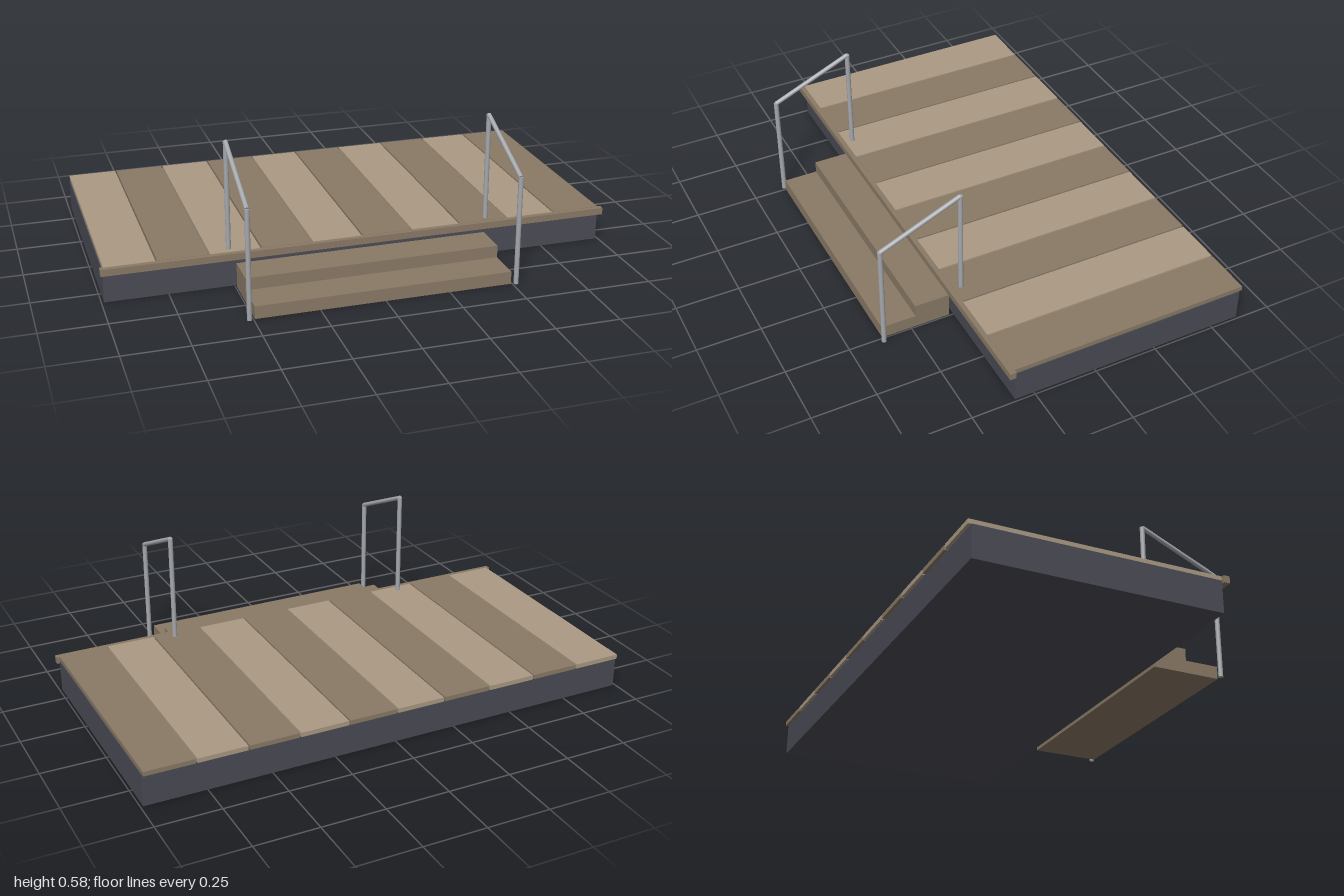
import * as THREE from 'three';

const material = (name, color) => {
  const m = new THREE.MeshStandardMaterial({ color });
  m.name = name;
  return m;
};

export function createModel() {
  const group = new THREE.Group();
  const lightWood = material('light wood', 0xab9a84);
  const darkWood = material('dark wood', 0x8a7a66);
  const baseGrey = material('base grey', 0x4a4b55);
  const steel = material('steel', 0xa4a7ac);

  // Box given by its lower and upper corners
  const box = (name, mat, [x0, y0, z0], [x1, y1, z1]) => {
    const mesh = new THREE.Mesh(new THREE.BoxGeometry(x1 - x0, y1 - y0, z1 - z0), mat);
    mesh.position.set((x0 + x1) / 2, (y0 + y1) / 2, (z0 + z1) / 2);
    mesh.name = name;
    group.add(mesh);
  };

  // Round bar between two points
  const bar = (name, parent, a, b, radius) => {
    const from = new THREE.Vector3(...a);
    const along = new THREE.Vector3(...b).sub(from);
    const mesh = new THREE.Mesh(new THREE.CylinderGeometry(radius, radius, along.length(), 16), steel);
    mesh.position.copy(from).addScaledVector(along, 0.5);
    mesh.quaternion.setFromUnitVectors(new THREE.Vector3(0, 1, 0), along.normalize());
    mesh.name = name;
    parent.add(mesh);
  };

  // Platform base
  box('base', baseGrey, [-0.99, 0, -0.615], [0.99, 0.125, 0.326]);

  // Ten deck planks in alternating tones
  const pitch = 0.198;
  for (let i = 0; i < 10; i++) {
    const x = -0.99 + i * pitch;
    box('plank' + (i + 1), i % 2 ? darkWood : lightWood,
      [x + 0.003, 0.125, -0.627], [x + pitch - 0.003, 0.143, 0.333]);
  }

  // Front edge board
  box('edgeBoard', darkWood, [-1, 0.115, 0.328], [1, 0.142, 0.352]);

  // Two steps
  box('lowerStep', darkWood, [-0.495, 0, 0.342], [0.495, 0.05, 0.617]);
  box('upperStep', darkWood, [-0.495, 0.05, 0.342], [0.495, 0.098, 0.48]);

  // Handrails on both sides of the steps
  for (const side of [-1, 1]) {
    const rail = new THREE.Group();
    rail.name = side > 0 ? 'leftHandrail' : 'rightHandrail';
    const x = side * 0.515;
    bar('frontPost', rail, [x, 0, 0.618], [x, 0.428, 0.618], 0.0095);
    bar('backPost', rail, [x, 0.125, 0.302], [x, 0.568, 0.302], 0.0095);
    bar('slopedRail', rail, [x, 0.427, 0.618], [x, 0.567, 0.302], 0.009);
    group.add(rail);
  }

  return group;
}
